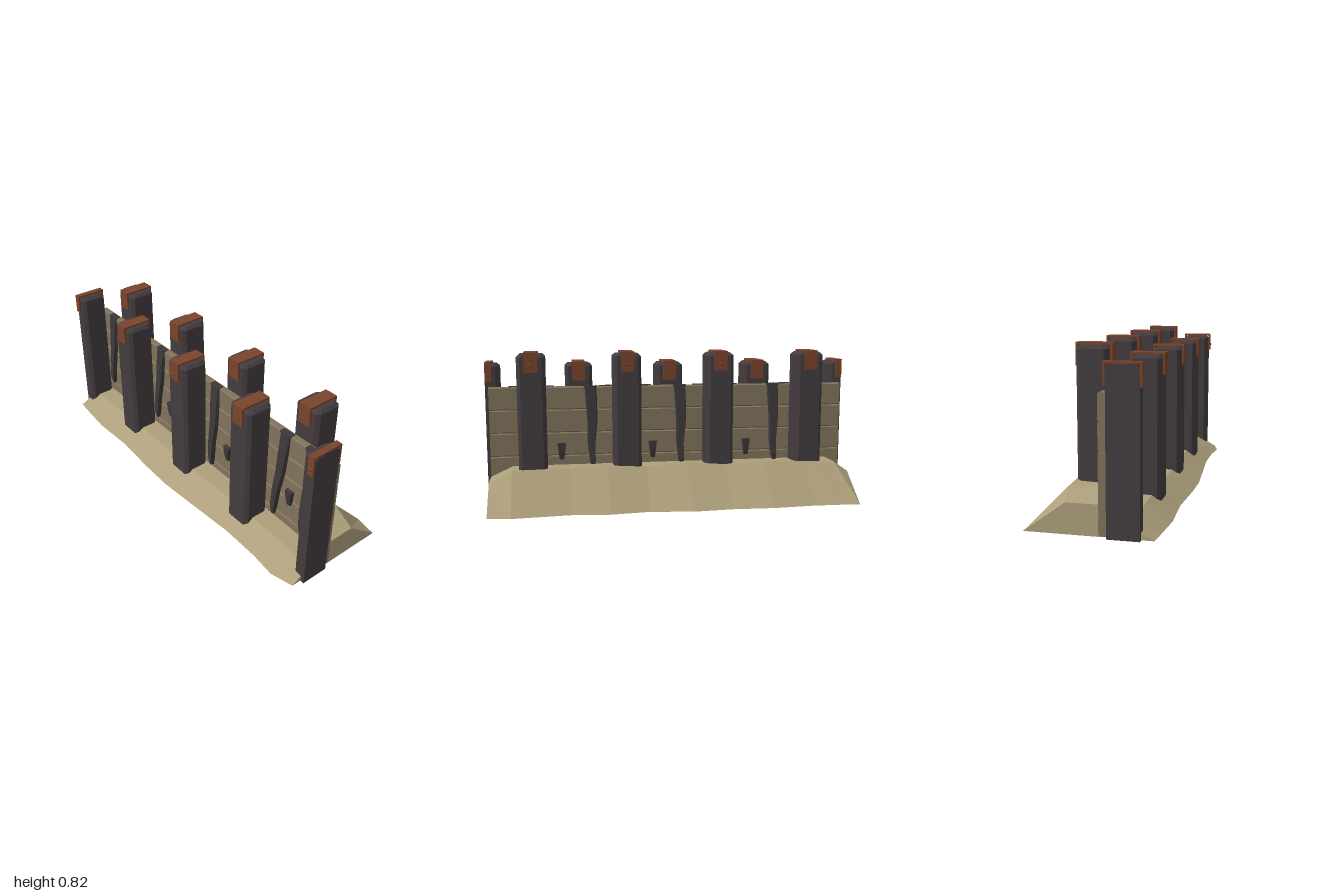
import * as THREE from 'three';

const mat = (name, color) => {
  const m = new THREE.MeshStandardMaterial({ color });
  m.name = name;
  return m;
};

// Skin a list of equal-length rings ([x, y, z] points) with flat faces and closed ends.
function loft(rings) {
  const pos = [];
  const tri = (a, b, c) => pos.push(...a, ...b, ...c);
  const n = rings[0].length;
  for (let i = 0; i < rings.length - 1; i++) {
    for (let j = 0; j < n; j++) {
      const k = (j + 1) % n;
      tri(rings[i][j], rings[i][k], rings[i + 1][k]);
      tri(rings[i][j], rings[i + 1][k], rings[i + 1][j]);
    }
  }
  const first = rings[0], last = rings[rings.length - 1];
  for (let j = 1; j < n - 1; j++) {
    tri(first[0], first[j + 1], first[j]);
    tri(last[0], last[j], last[j + 1]);
  }
  const g = new THREE.BufferGeometry();
  g.setAttribute('position', new THREE.Float32BufferAttribute(pos, 3));
  g.computeVertexNormals();
  return g;
}

export function createModel() {
  const model = new THREE.Group();
  model.name = 'palisadeWall';
  const timber = mat('darkTimber', 0x433c3e);
  const plankMat = mat('plankWood', 0x81735c);
  const earth = mat('earth', 0xad9f7b);
  const rust = mat('rustyIron', 0x7a432c);
  const rag = mat('darkRag', 0x3d3738);

  const add = (parent, name, geometry, material, x = 0, y = 0, z = 0) => {
    const m = new THREE.Mesh(geometry, material);
    m.name = name;
    m.position.set(x, y, z);
    parent.add(m);
  };

  // Chamfered post; side 0 is whole, +1 / -1 keeps only that half
  const R = 0.074, C = 0.018;
  function postGeometry(h, side) {
    const a = R - C;
    let outline = [[R, -a], [R, a], [a, R], [-a, R], [-R, a], [-R, -a], [-a, -R], [a, -R]]; // z, x
    if (side > 0) outline = [[R, 0], [R, a], [a, R], [-a, R], [-R, a], [-R, 0]];
    if (side < 0) outline = [[-R, 0], [-R, -a], [-a, -R], [a, -R], [R, -a], [R, 0]];
    const ring = (s, y) => outline.map(([z, x]) => [x * s, y, z * s]);
    return loft([ring(1, 0), ring(1, h - 0.016), ring((R - 0.016) / R, h)]);
  }

  // Iron strap folded over a post top
  function strapGeometry(width) {
    const o = 0.0845, i = 0.0745, t = 0.01, d = 0.104;
    const s = new THREE.Shape();
    [[-o, 0], [-o, -d], [-i, -d], [-i, -t], [i, -t], [i, -d], [o, -d], [o, 0]]
      .forEach(([x, y], k) => (k ? s.lineTo(x, y) : s.moveTo(x, y)));
    const g = new THREE.ExtrudeGeometry(s, { depth: width, bevelEnabled: false });
    return g.translate(0, 0, -width / 2).rotateY(Math.PI / 2);
  }

  function post(name, x, z, h, face, side = 0) {
    const g = new THREE.Group();
    g.name = name;
    g.position.set(x, 0, z);
    model.add(g);
    add(g, 'timberPost', postGeometry(h, side), timber);
    const cx = side * 0.018;
    add(g, 'ironStrap', strapGeometry(side ? 0.034 : 0.07), rust, cx, h + 0.01, 0);
    const rivet = new THREE.CylinderGeometry(0.003, 0.01, 0.008, 6).rotateX(face * Math.PI / 2);
    add(g, 'rivet', rivet, rust, cx, h - 0.057, face * 0.088);
  }
  for (const x of [-1, -0.5, 0, 0.5, 1]) {
    post('frontPost', x, 0.148, 0.75, 1, Math.abs(x) === 1 ? -x : 0);
  }
  for (const x of [-0.75, -0.25, 0.25, 0.75]) post('backPost', x, -0.037, 0.81, -1);

  // Plank wall with bevelled long edges
  const levels = [0.003, 0.127, 0.252, 0.378, 0.503, 0.627];
  for (let i = 0; i < 5; i++) {
    const y0 = levels[i], y1 = levels[i + 1], z0 = 0.034, z1 = 0.073, b = 0.006;
    const ring = x => [
      [x, y0, z0 + b], [x, y0 + b, z0], [x, y1 - b, z0], [x, y1, z0 + b],
      [x, y1, z1 - b], [x, y1 - b, z1], [x, y0 + b, z1], [x, y0, z1 - b],
    ];
    add(model, 'plank', loft([ring(-0.98), ring(0.98)]), plankMat);
  }

  // Earth banks: each station is x, foot z, crest z, crest y
  const backBank = [
    [-0.98, -0.31, -0.115, 0.145], [-0.9, -0.305, -0.12, 0.2], [-0.73, -0.3, -0.118, 0.208],
    [-0.5, -0.315, -0.122, 0.215], [-0.28, -0.305, -0.118, 0.205], [-0.07, -0.32, -0.115, 0.22],
    [0.15, -0.288, -0.122, 0.205], [0.36, -0.312, -0.12, 0.218], [0.56, -0.29, -0.115, 0.208],
    [0.86, -0.315, -0.12, 0.205], [0.98, -0.295, -0.112, 0.145],
  ];
  const frontBank = [
    [-0.98, 0.28, 0.17, 0.06], [-0.9, 0.288, 0.175, 0.072], [-0.7, 0.305, 0.18, 0.082],
    [-0.45, 0.295, 0.175, 0.084], [-0.2, 0.312, 0.18, 0.086], [0, 0.318, 0.18, 0.086],
    [0.25, 0.302, 0.177, 0.084], [0.5, 0.285, 0.17, 0.085], [0.72, 0.29, 0.175, 0.082],
    [0.86, 0.305, 0.175, 0.074], [0.98, 0.275, 0.17, 0.06],
  ];
  add(model, 'backEarthBank', loft(backBank.map(([x, foot, crest, h]) =>
    [[x, 0.002, 0.035], [x, 0.002, foot], [x, h, crest], [x, Math.min(h, 0.2), 0.035]])), earth);
  add(model, 'frontEarthBank', loft(frontBank.map(([x, foot, crest, h]) =>
    [[x, 0.002, 0.072], [x, h, 0.072], [x, h, crest], [x, 0.002, foot]])), earth);

  // Torn hangings: groups sit on a wall face with local +z pointing outward
  const slab = (cx, y, w, z0, z1) =>
    [[cx - w, y, z0], [cx + w, y, z0], [cx + w * 0.8, y, z1], [cx - w * 0.8, y, z1]];
  function hanging(parent, xTop, xEnd, yEnd) {
    const rows = [ // fraction down, half width, sway, inner z, outer z
      [0, 0.033, 0, -0.004, 0.008], [0.2, 0.031, 0.003, 0.001, 0.018], [0.45, 0.027, 0.004, 0.005, 0.026],
      [0.7, 0.021, -0.005, 0.01, 0.034], [0.9, 0.016, -0.002, 0.016, 0.042], [1, 0.009, 0, 0.02, 0.036],
    ];
    add(parent, 'tornStrip', loft(rows.map(([t, w, sway, z0, z1]) =>
      slab(xTop + (xEnd - xTop) * t + sway, 0.63 + (yEnd - 0.63) * t, w, z0, z1))), rag);
    add(parent, 'stripFold', new THREE.BoxGeometry(0.07, 0.01, 0.032), rag, xTop, 0.625, -0.01);
  }
  const scrap = (parent, x, y) => add(parent, 'tornScrap', loft([
    slab(x, y, 0.025, -0.004, 0.022), slab(x, y - 0.045, 0.019, -0.003, 0.02), slab(x, y - 0.09, 0.013, -0.002, 0.012),
  ]), rag);

  const frontRags = new THREE.Group();
  frontRags.name = 'frontHangings';
  frontRags.position.z = 0.073;
  const backRags = new THREE.Group();
  backRags.name = 'backHangings';
  backRags.position.z = 0.034;
  backRags.rotation.y = Math.PI;
  model.add(frontRags, backRags);

  [[-0.845, -0.85, 0.17], [-0.655, -0.64, 0.27], [-0.345, -0.365, 0.17], [-0.165, -0.178, 0.26],
    [0.14, 0.145, 0.13], [0.357, 0.37, 0.14], [0.67, 0.645, 0.13], [0.84, 0.85, 0.13]]
    .forEach(s => hanging(frontRags, ...s));
  [[-0.76, 0.315], [-0.26, 0.31], [0.255, 0.305], [0.73, 0.32]].forEach(s => scrap(frontRags, ...s));
  [[-0.58, 0.19], [-0.05, 0.17], [0.44, 0.18]].forEach(([x, y]) => hanging(backRags, -x, -x + 0.01, y));
  [-0.43, 0.1, 0.6].forEach(x => scrap(backRags, -x, 0.32));

  return model;
}
